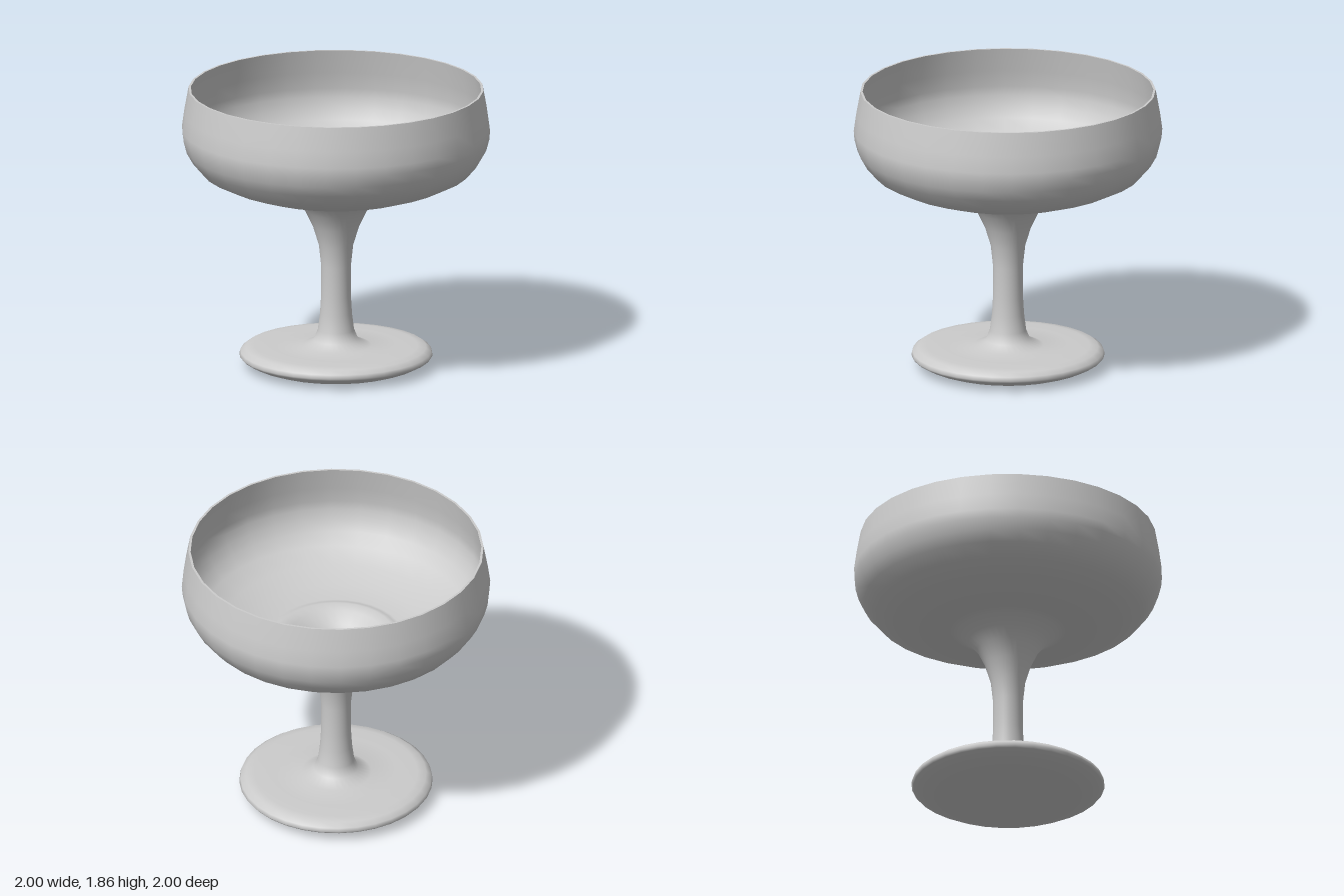
import * as THREE from 'three';

const SEGMENTS = 32;
const WALL = 0.015;

// Outer profiles as [radius, height], from bottom to top
const FOOT = [
  [0, 0.005], [0.44, 0.005], [0.49, 0.015], [0.56, 0.04], [0.615, 0.07], [0.627, 0.085],
  [0.62, 0.11], [0.585, 0.135], [0.53, 0.143], [0.4, 0.145], [0.23, 0.148],
];
const STEM = [
  [0.23, 0.148], [0.145, 0.185], [0.118, 0.25], [0.104, 0.36], [0.097, 0.48], [0.097, 0.68],
  [0.112, 0.82], [0.15, 0.945], [0.2, 1.05], [0.257, 1.117], [0.33, 1.17], [0.38, 1.19],
];
const BOWL = [
  [0.38, 1.19], [0.41, 1.18], [0.44, 1.175], [0.58, 1.2], [0.74, 1.255], [0.87, 1.32],
  [0.935, 1.395], [0.975, 1.465], [0.995, 1.54], [1, 1.6], [0.985, 1.71], [0.957, 1.865],
];

const toPoints = (list) => list.map(([r, y]) => new THREE.Vector2(r, y));

// Shifts a profile inward by the wall thickness, along its local normals
function inset(points) {
  return points.map((p, i) => {
    if (i === 0) return new THREE.Vector2(0, p.y + WALL);
    const before = p.clone().sub(points[i - 1]).normalize();
    const after = (points[i + 1] ?? p).clone().sub(p).normalize();
    const t = before.add(after).normalize();
    const last = i === points.length - 1;
    return new THREE.Vector2(p.x - t.y * WALL, last ? p.y : p.y + t.x * WALL);
  });
}

export function createModel() {
  const group = new THREE.Group();
  group.name = 'stemmedCoupe';
  const material = new THREE.MeshStandardMaterial({ color: 0xcccccc });

  const addLathe = (name, points) => {
    const mesh = new THREE.Mesh(new THREE.LatheGeometry(points, SEGMENTS), material);
    mesh.name = name;
    group.add(mesh);
  };

  // Outside skin: foot, stem and bowl in one smooth sweep
  const outer = toPoints([...FOOT, ...STEM.slice(1), ...BOWL.slice(1)]);
  addLathe('outerSurface', outer);

  // Inside skin: hollow bowl running down through the stem
  const inner = inset(outer);
  addLathe('innerSurface', inner.slice().reverse());

  // Flat lip joining both skins
  addLathe('rim', [outer.at(-1), inner.at(-1)]);

  return group;
}
